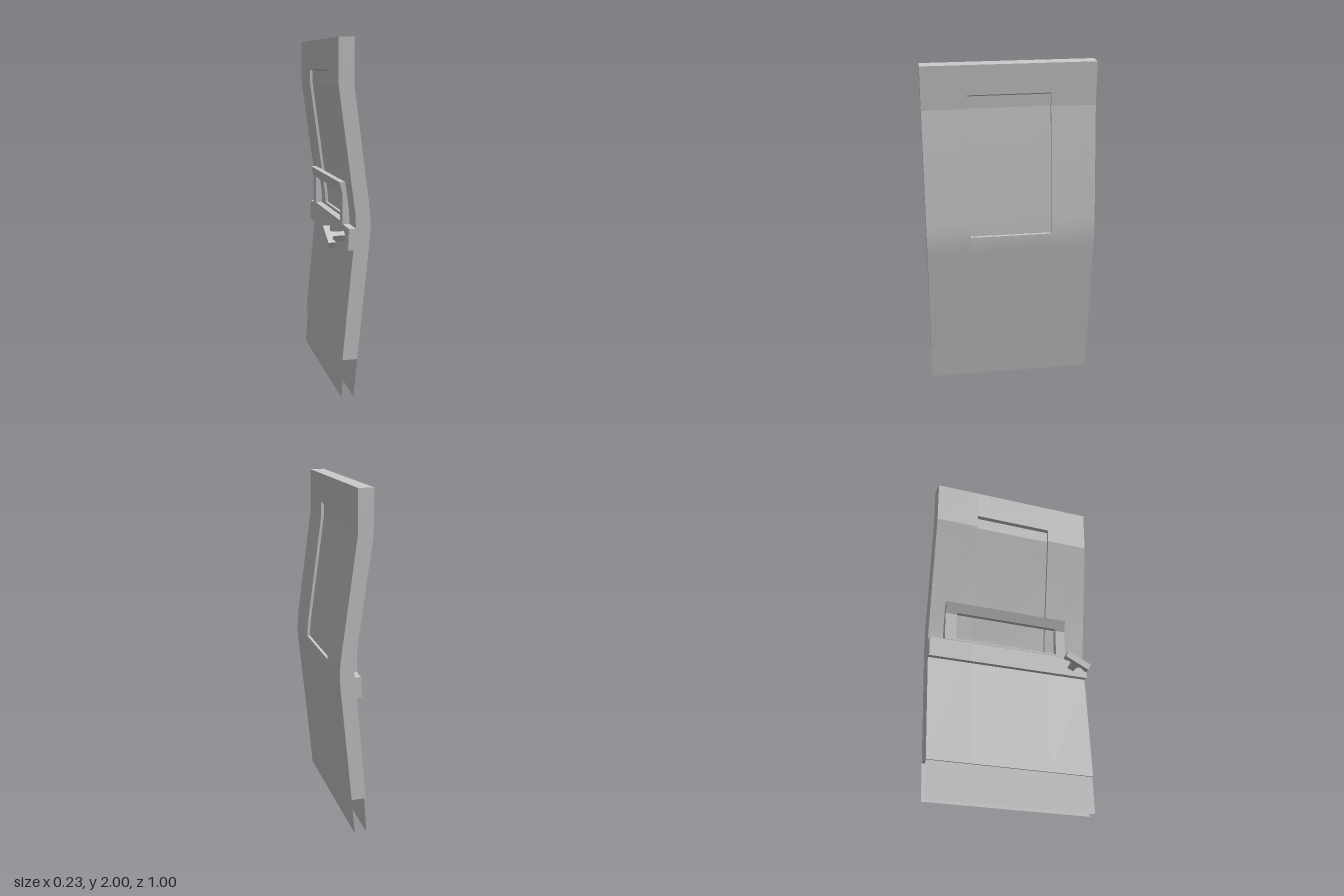
import * as THREE from 'three';
import { toCreasedNormals } from 'three/addons/utils/BufferGeometryUtils.js';

const material = new THREE.MeshStandardMaterial({ color: 0xcccccc });
const sheetMaterial = new THREE.MeshStandardMaterial({ color: 0xcccccc, side: THREE.DoubleSide });

const shapeOf = (points) => new THREE.Shape(points.map(([x, y]) => new THREE.Vector2(x, y)));

// Side profile (x, y) swept along z between two positions
function sweep(name, points, z0, z1) {
  const geo = new THREE.ExtrudeGeometry(shapeOf(points), { depth: z1 - z0, bevelEnabled: false });
  geo.translate(0, 0, z0);
  const mesh = new THREE.Mesh(toCreasedNormals(geo, 0.12), material);
  mesh.name = name;
  return mesh;
}

export function createModel() {
  const door = new THREE.Group();
  door.name = 'door';

  // Bent door profile: inner face with its ledge, going up, then outer face going down
  const lower = [[0.04, 0.22], [-0.045, 0.22], [0.015, 0.85], [-0.015, 0.85], [-0.01, 0.97], [0.03, 0.97]];
  const belly = [[0.106, 1.09], [0.111, 1.03], [0.113, 0.97], [0.108, 0.9]];
  const full = [...lower, [0.025, 1.06], [-0.07, 1.75], [-0.07, 2], [0.017, 2], [0.017, 1.75], ...belly];

  // Same profile with a shallow window pocket on both faces
  const d = 0.017;
  const pocketed = [
    ...lower, [0.029, 1.0], [0.029 + d, 1.0], [0.025 + d, 1.06], [-0.07 + d, 1.75], [-0.07 + d, 1.82], [-0.07, 1.83],
    [-0.07, 2], [0.017, 2], [0.017, 1.83], [0.017 - d, 1.82], [0.017 - d, 1.75], [0.106 - d, 1.09],
    [0.112 - d, 1.0], [0.112, 1.0], ...belly.slice(2),
  ];
  const w = 0.24;
  door.add(sweep('rearDoorPanel', full, -0.5, -w));
  door.add(sweep('windowPanel', pocketed, -w, w));
  door.add(sweep('frontDoorPanel', full, w, 0.5));

  // Thin skins hanging below the door body
  for (const [name, top, bottom] of [['outerSkirt', 0.04, 0.02], ['innerSkirt', -0.035, -0.05]]) {
    const geo = new THREE.PlaneGeometry(1, Math.hypot(0.22, top - bottom));
    geo.rotateY(Math.PI / 2).rotateZ(-Math.atan2(top - bottom, 0.22));
    const skirt = new THREE.Mesh(geo, sheetMaterial);
    skirt.position.set((top + bottom) / 2, 0.11, 0);
    skirt.name = name;
    door.add(skirt);
  }

  // Open frame standing on the ledge of the inner face
  const frame = new THREE.Group();
  frame.name = 'pocketFrame';
  const post = [[-0.012, 0.97], [0.03, 0.97], [0.025, 1.06], [0.004, 1.21], [-0.03, 1.21], [-0.012, 1.14]];
  frame.add(sweep('rearFramePost', post, -0.41, -0.34));
  frame.add(sweep('frontFramePost', post, 0.3, 0.36));
  frame.add(sweep('frameTopRail', [[-0.012, 1.15], [0.013, 1.15], [0.004, 1.21], [-0.03, 1.21], [-0.0145, 1.15]], -0.34, 0.3));
  frame.add(sweep('frameBottomRail', [[-0.012, 0.97], [0.03, 0.97], [0.03, 0.982], [-0.012, 0.982]], -0.34, 0.3));
  door.add(frame);

  // Tilted handle: outline in (x, length), with a notched grip on a short stem
  const half = [[0.03, 0.02], [-0.08, 0.02], [-0.092, 0.042], [-0.08, 0.067], [-0.08, 0.08], [-0.12, 0.08]];
  const outline = [...half, ...half.map(([x, u]) => [x, -u]).reverse()];
  const handle = sweep('handle', outline, -0.02, 0.02);
  handle.rotation.x = Math.PI / 2 + 0.44;
  handle.position.set(0, 0.91, 0.4);
  door.add(handle);

  return door;
}
